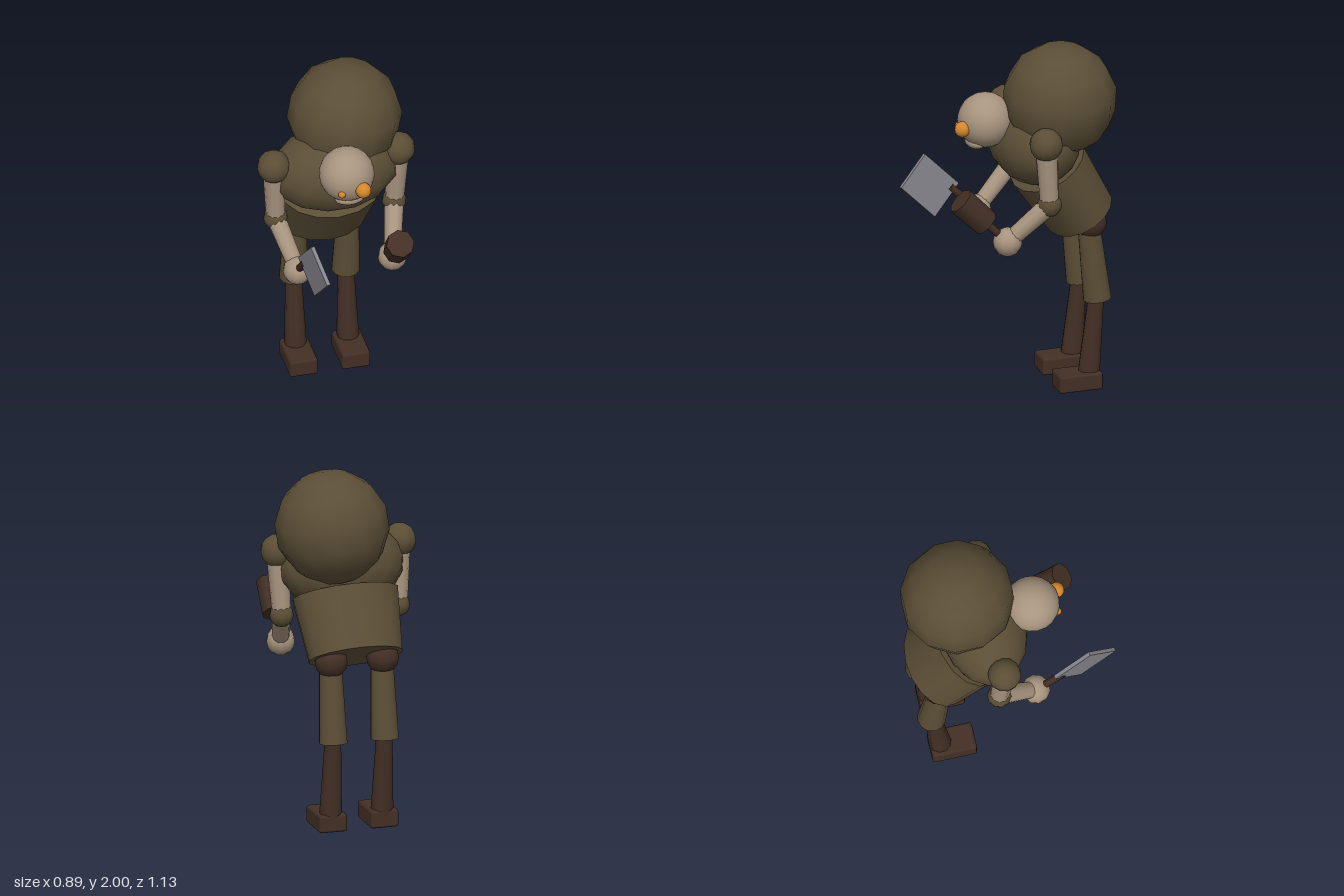
import * as THREE from 'three';
import { RoundedBoxGeometry } from 'three/addons/geometries/RoundedBoxGeometry.js';

const material = (name, color) => {
  const m = new THREE.MeshStandardMaterial({ color });
  m.name = name;
  return m;
};
const V = (x, y, z) => new THREE.Vector3(x, y, z);

export function createModel() {
  const cloth = material('olive cloth', 0x5b4e36);
  const skin = material('pale skin', 0xa8947f);
  const leather = material('dark leather', 0x432f25);
  const amber = material('amber eye', 0xd4872a);
  const steel = material('steel', 0x85848c);

  const model = new THREE.Group();
  model.name = 'hunchedButcher';

  const add = (name, geometry, mat, position) => {
    const mesh = new THREE.Mesh(geometry, mat);
    mesh.name = name;
    mesh.position.copy(position);
    model.add(mesh);
    return mesh;
  };
  const ball = (name, mat, position, r, w = 12, h = 8) =>
    add(name, new THREE.SphereGeometry(r, w, h), mat, position);
  // Tapered cylinder running from point a (radius ra) to point b (radius rb)
  const limb = (name, mat, a, b, ra, rb, sides = 10) => {
    const dir = b.clone().sub(a);
    const mesh = add(name, new THREE.CylinderGeometry(rb, ra, dir.length(), sides), mat,
      a.clone().add(b).multiplyScalar(0.5));
    mesh.quaternion.setFromUnitVectors(V(0, 1, 0), dir.normalize());
    return mesh;
  };

  // Torso: leaning belly, broad chest and an off-centre hump
  const belly = add('belly', new THREE.CylinderGeometry(0.22, 0.195, 0.357, 16), cloth, V(0, 1.128, -0.302));
  belly.scale.x = 1.37;
  belly.rotation.x = 0.545;

  const chest = ball('chest', cloth, V(0, 1.43, -0.13), 0.243, 14, 10);
  chest.scale.x = 1.48;
  chest.rotation.x = 0.5;

  const humpShape = new THREE.SphereGeometry(0.317, 12, 7).rotateY(Math.PI / 12);
  add('hump', humpShape, cloth, V(0.09, 1.684, -0.252)).rotation.z = -0.17;

  // Head with heavy jaw and mismatched eyes
  ball('head', skin, V(0, 1.575, 0.147), 0.153, 20, 14);
  ball('jaw', skin, V(0, 1.457, 0.205), 0.085, 14, 8).scale.set(1, 0.45, 0.65);
  ball('largeEye', amber, V(0.055, 1.555, 0.297), 0.044, 12, 10);
  ball('smallEye', amber, V(-0.06, 1.535, 0.278), 0.022, 10, 8);

  // Arms and legs, mirrored
  for (const s of [-1, 1]) {
    const side = s > 0 ? 'left' : 'right';
    const shoulder = V(s * 0.352, 1.525, -0.087);
    const elbow = V(s * 0.335, 1.165, -0.112);
    const hand = V(s * 0.268, 0.95, 0.108);
    ball(side + 'Shoulder', cloth, shoulder, 0.093);
    limb(side + 'UpperArm', skin, shoulder, elbow, 0.062, 0.053);
    ball(side + 'Elbow', cloth, elbow, 0.068, 10, 8);
    limb(side + 'Forearm', skin, elbow, hand, 0.054, 0.046);
    ball(side + 'Hand', skin, hand, 0.081, 10, 8);

    const x = s * 0.148;
    ball(side + 'Hip', leather, V(x, 0.965, -0.41), 0.092);
    limb(side + 'Thigh', cloth, V(x, 0.51, -0.45), V(x, 0.95, -0.4), 0.079, 0.063, 12);
    limb(side + 'Shin', leather, V(x, 0.07, -0.4), V(x, 0.52, -0.443), 0.063, 0.045);
    add(side + 'Foot', new RoundedBoxGeometry(0.16, 0.1, 0.25, 1, 0.015), leather, V(x, 0.05, -0.335));
  }

  // Cleaver in the right hand
  limb('cleaverHandle', leather, V(-0.27, 0.95, 0.113), V(-0.268, 1.1, 0.26), 0.021, 0.021, 8);
  const along = V(0.02, 0.2, 0.2).normalize();
  const flat = V(0.052, -0.155, 0.16).cross(along).normalize();
  const down = along.clone().cross(flat);
  const blade = add('cleaverBlade', new THREE.BoxGeometry(0.284, 0.022, 0.229), steel, V(-0.245, 1.13, 0.388));
  blade.quaternion.setFromRotationMatrix(new THREE.Matrix4().makeBasis(along, flat, down));

  // Mallet in the left hand
  limb('malletHandle', leather, V(0.265, 0.95, 0.108), V(0.258, 1.09, 0.245), 0.02, 0.02, 8);
  limb('malletHead', leather, V(0.26, 1.07, 0.228), V(0.245, 1.215, 0.372), 0.074, 0.078, 8);

  return model;
}
